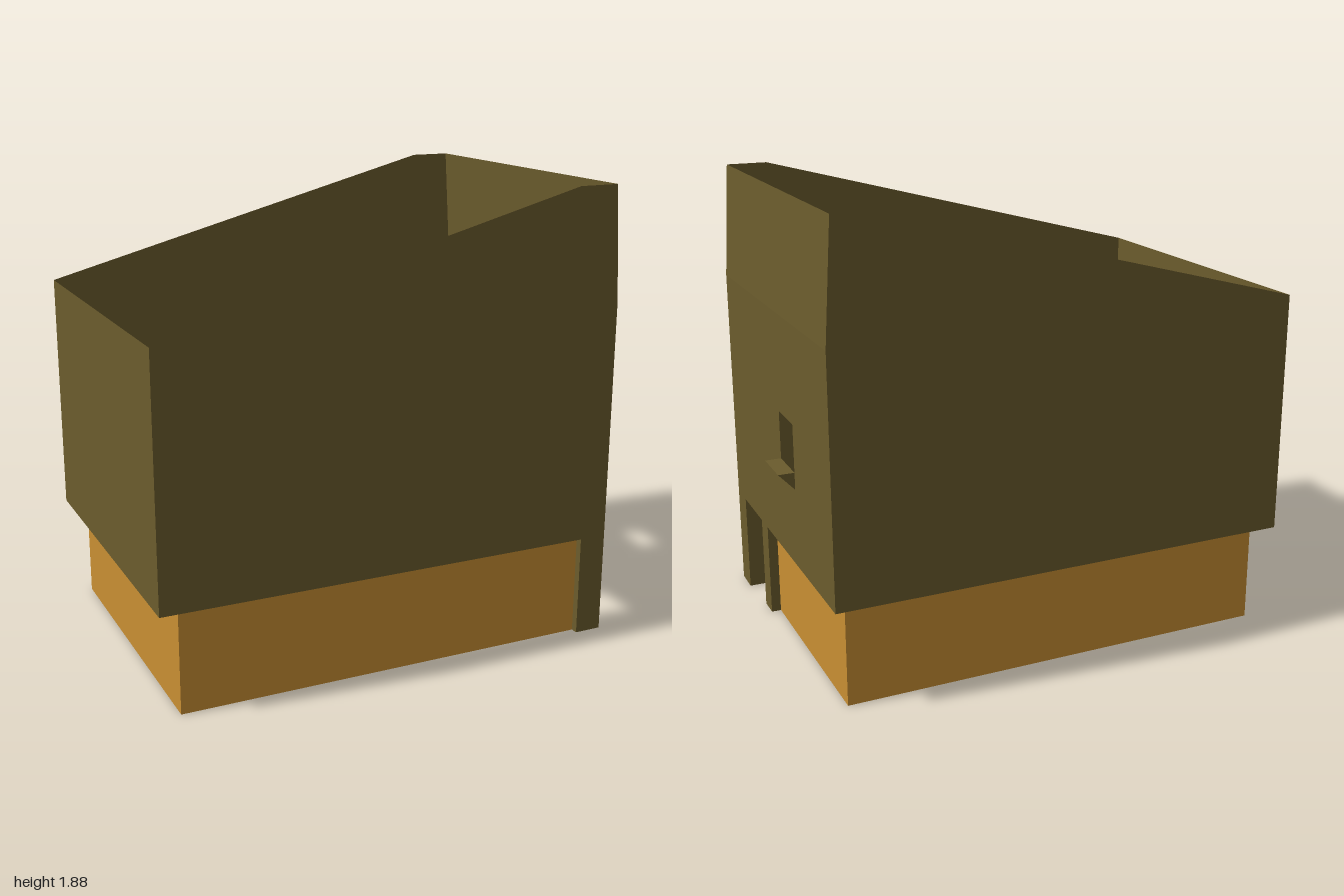
import * as THREE from 'three';

const V = (x, y) => new THREE.Vector2(x, y);
const rect = (x0, y0, x1, y1) => [V(x0, y0), V(x1, y0), V(x1, y1), V(x0, y1)];

export function createModel() {
  const olive = new THREE.MeshStandardMaterial({ color: 0x6b5c2d, side: THREE.DoubleSide });
  olive.name = 'olive';
  const orange = new THREE.MeshStandardMaterial({ color: 0xc98f33, side: THREE.DoubleSide });
  orange.name = 'orange';

  const model = new THREE.Group();
  model.name = 'openBin';
  const add = (name, geo, mat = olive) => {
    const mesh = new THREE.Mesh(geo, mat);
    mesh.name = name;
    model.add(mesh);
    return mesh;
  };
  const sheet = (points, holes = []) => {
    const shape = new THREE.Shape(points);
    holes.forEach((h) => shape.holes.push(new THREE.Path(h)));
    return new THREE.ShapeGeometry(shape);
  };

  const L = -1, R = 0.935, D = 0.68, Y0 = 0.42;
  const bendY = 1.41, topX = 0.905, topY = 1.88;

  // Front and back sheets with the sloping rim
  const profile = [V(L, Y0), V(R, Y0), V(R, bendY), V(topX, topY), V(0.735, topY), V(L, 1.42)];
  add('frontWall', sheet(profile)).position.z = D;
  add('backWall', sheet(profile).rotateY(Math.PI).scale(-1, 1, 1)).position.z = -D;

  // Side sheets; the right one has a small slot and leans in at the top
  const slot = rect(-0.23, 0.815, -0.05, 1.01);
  add('slottedWall', sheet(rect(-D, Y0, D, bendY), [slot]).rotateY(-Math.PI / 2)).position.x = R;
  add('lowWall', sheet(rect(-D, Y0, D, 1.42)).rotateY(-Math.PI / 2)).position.x = L;
  const lean = new THREE.PlaneGeometry(2 * D, topY - bendY).rotateY(Math.PI / 2);
  const p = lean.attributes.position;
  for (let i = 0; i < p.count; i++) {
    p.setX(i, p.getY(i) > 0 ? topX : R);
    p.setY(i, p.getY(i) + (topY + bendY) / 2);
  }
  lean.computeVertexNormals();
  add('leaningWall', lean);

  // Flat ledge under the shell, open in the middle and above the hollow posts
  const ledge = [V(L, -D), V(R, -D), V(R, 0.565), V(0.82, 0.565), V(0.82, D), V(L, D)];
  const openings = [rect(-0.83, -0.53, 0.82, 0.563), rect(0.84, 0.27, 0.92, 0.36)];
  add('ledge', sheet(ledge, openings).rotateX(Math.PI / 2)).position.y = Y0;

  // Base walls, orange outside and olive on the face turned inwards
  const baseWall = (name, x0, x1, z0, z1, innerFace) => {
    const h = Y0 - 0.004;
    const mats = Array.from({ length: 6 }, (_, i) => (i === innerFace ? olive : orange));
    add(name, new THREE.BoxGeometry(x1 - x0, h, z1 - z0), mats)
      .position.set((x0 + x1) / 2, h / 2, (z0 + z1) / 2);
  };
  baseWall('baseFront', -0.92, 0.82, 0.6, 0.65, 5);
  baseWall('baseBack', -0.92, 0.88, -0.62, -0.57, 4);
  baseWall('baseLowSide', -0.92, -0.87, -0.57, 0.6, 0);
  baseWall('baseSlottedSide', 0.83, 0.88, -0.57, 0.27, 1);

  // Hollow square posts
  const post = (name, x0, x1, z0, z1) => {
    const geo = new THREE.CylinderGeometry(Math.SQRT1_2, Math.SQRT1_2, Y0, 4, 1, true)
      .toNonIndexed().rotateY(Math.PI / 4).scale(x1 - x0, 1, z1 - z0);
    geo.computeVertexNormals();
    add(name, geo).position.set((x0 + x1) / 2, Y0 / 2, (z0 + z1) / 2);
  };
  post('cornerPost', 0.82, R, 0.565, D);
  post('innerPost', 0.84, 0.92, 0.27, 0.36);

  // Wedge lip below the slot
  const lip = new THREE.Shape([V(R, 0.745), V(1, 0.815), V(R, 0.815)]);
  add('slotLip', new THREE.ExtrudeGeometry(lip, { depth: 0.18, bevelEnabled: false }))
    .position.z = -0.23;

  return model;
}
